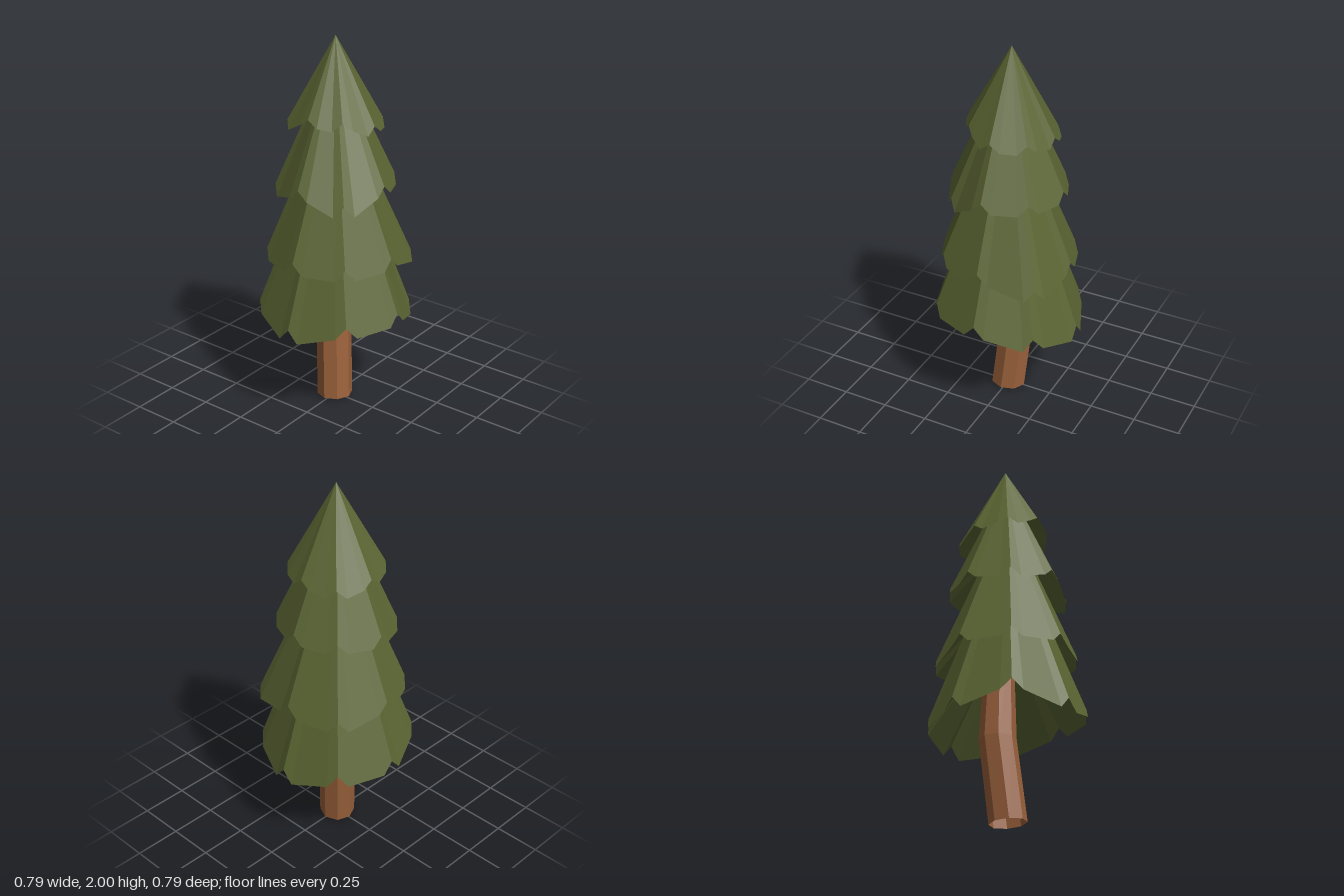
import * as THREE from 'three';

const SIDES = 8;
const leafMaterial = new THREE.MeshStandardMaterial({ color: 0x5a6432, flatShading: true, side: THREE.DoubleSide });
const barkMaterial = new THREE.MeshStandardMaterial({ color: 0x9a613b, flatShading: true, side: THREE.DoubleSide });

// Eight-sided cone with a recessed underside; its rim is notched upward at every crease.
// notches: rim height at each crease, starting at +x and turning towards +z.
// reach: scale of the radius at single creases.
function createTier({ name, apex, center, radius, halfNotch, notches, reach = {} }) {
  const top = new THREE.Vector3(...apex);
  const rim = [];
  notches.forEach((y, i) => {
    const angle = (i / SIDES) * Math.PI * 2;
    const r = radius * (reach[i] ?? 1);
    // corners drop just enough to stay in the plane of the cone's faces
    const drop = halfNotch * Math.tan(Math.PI / SIDES) * (top.y - y) / r;
    for (const k of [-1, 0, 1]) {
      const t = k * halfNotch;
      rim.push(new THREE.Vector3(
        center[0] + r * Math.cos(angle) - t * Math.sin(angle),
        y - Math.abs(k) * drop,
        center[1] + r * Math.sin(angle) + t * Math.cos(angle)));
    }
  });
  // the underside rises less steeply than the outside
  const hollow = new THREE.Vector3(center[0], THREE.MathUtils.lerp(notches[0], top.y, 0.45), center[1]);
  const points = [];
  rim.forEach((p, i) => {
    const next = rim[(i + 1) % rim.length];
    points.push(top, next, p, hollow, p, next);
  });
  const geometry = new THREE.BufferGeometry().setFromPoints(points);
  geometry.computeVertexNormals();
  const mesh = new THREE.Mesh(geometry, leafMaterial);
  mesh.name = name;
  return mesh;
}

// Open octagonal trunk that leans, then bends upright inside the foliage.
function createTrunk() {
  const rings = [
    { y: 0.01, x: -0.001, z: 0.002, r: 0.095 },
    { y: 0.44, x: -0.036, z: -0.036, r: 0.095 },
    { y: 0.9, x: -0.02, z: -0.04, r: 0.075 },
  ];
  const geometry = new THREE.CylinderGeometry(1, 1, 2, SIDES, rings.length - 1, true);
  const pos = geometry.attributes.position;
  for (let i = 0; i < pos.count; i++) {
    const level = Math.round(pos.getY(i) + 1);
    const ring = rings[level];
    const x = pos.getX(i) * ring.r;
    const z = pos.getZ(i) * ring.r;
    // the foot is cut square to the lean
    const tilt = level === 0 ? 0.06 * (x + z) : 0;
    pos.setXYZ(i, ring.x + x, ring.y + tilt, ring.z + z);
  }
  geometry.computeVertexNormals();
  const mesh = new THREE.Mesh(geometry, barkMaterial);
  mesh.name = 'trunk';
  return mesh;
}

export function createModel() {
  const tree = new THREE.Group();
  tree.name = 'pineTree';
  tree.add(createTrunk());

  const tiers = [
    { name: 'bottomFoliage', apex: [0, 1.62, 0], center: [0, 0], radius: 0.397, halfNotch: 0.056,
      notches: [0.61, 0.605, 0.555, 0.605, 0.55, 0.54, 0.5, 0.55] },
    { name: 'lowerMiddleFoliage', apex: [0, 1.74, 0], center: [0, 0], radius: 0.353, halfNotch: 0.055,
      notches: [0.905, 0.9, 0.91, 0.9, 0.9, 0.855, 0.88, 0.845], reach: { 5: 1.04, 7: 1.13 } },
    { name: 'upperMiddleFoliage', apex: [-0.005, 1.93, -0.005], center: [0, 0], radius: 0.304, halfNotch: 0.054,
      notches: [1.285, 1.22, 1.285, 1.25, 1.265, 1.27, 1.28, 1.28] },
    { name: 'topFoliage', apex: [-0.007, 2, -0.012], center: [-0.004, -0.013], radius: 0.236, halfNotch: 0.052,
      notches: [1.58, 1.615, 1.625, 1.58, 1.565, 1.545, 1.565, 1.575],
      reach: { 1: 0.93, 2: 0.96, 3: 1.04, 4: 1.02, 5: 1.04 } },
  ];
  for (const tier of tiers) tree.add(createTier(tier));
  return tree;
}
